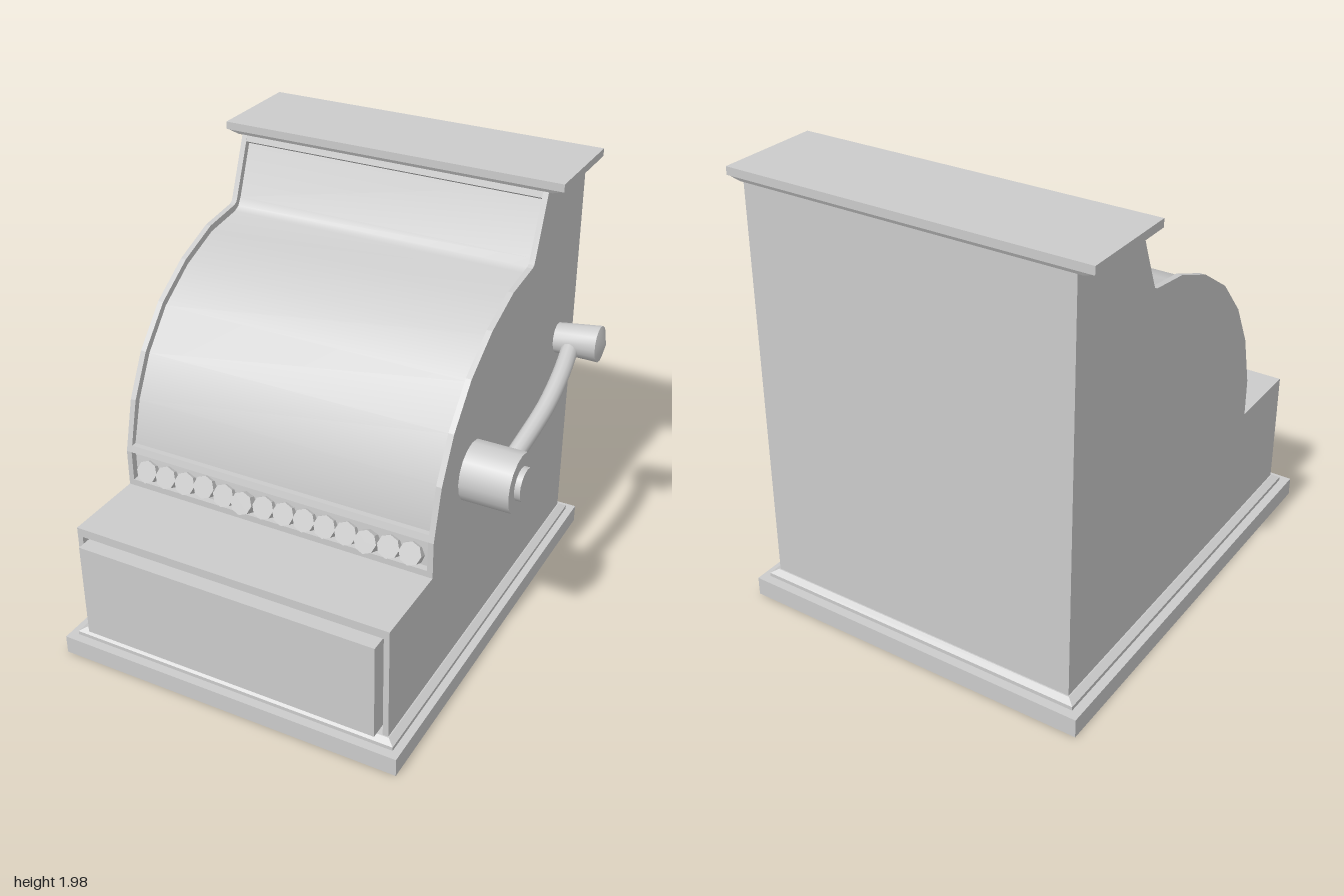
import * as THREE from 'three';
import { toCreasedNormals } from 'three/addons/utils/BufferGeometryUtils.js';

const material = new THREE.MeshStandardMaterial({ color: 0xcccccc });
const LEFT = -0.85, RIGHT = 0.625, RIM = 0.025; // cabinet extent along x

export function createModel() {
  const model = new THREE.Group();

  const add = (name, geometry, x = 0, y = 0, z = 0, parent = model) => {
    const mesh = new THREE.Mesh(geometry, material);
    mesh.name = name;
    mesh.position.set(x, y, z);
    parent.add(mesh);
    return mesh;
  };

  // Box given by its limits
  const box = (name, x0, x1, y0, y1, z0, z1) =>
    add(name, new THREE.BoxGeometry(x1 - x0, y1 - y0, z1 - z0), (x0 + x1) / 2, (y0 + y1) / 2, (z0 + z1) / 2);

  // Box whose top or bottom edge is drawn in by dx, dz to make a sloped moulding
  const moulding = (name, x0, x1, y0, y1, z0, z1, dx, dz, narrowTop) => {
    const g = new THREE.BoxGeometry(x1 - x0, y1 - y0, z1 - z0);
    const p = g.attributes.position;
    for (let i = 0; i < p.count; i++) {
      if ((p.getY(i) > 0) !== narrowTop) continue;
      p.setX(i, p.getX(i) - Math.sign(p.getX(i)) * dx);
      p.setZ(i, p.getZ(i) - Math.sign(p.getZ(i)) * dz);
    }
    const flat = g.toNonIndexed();
    flat.computeVertexNormals();
    return add(name, flat, (x0 + x1) / 2, (y0 + y1) / 2, (z0 + z1) / 2);
  };

  // Side profile of [z, y] points extruded from x0 to x1
  const profile = (name, points, x0, x1, crease = 0.1) => {
    const shape = new THREE.Shape(points.map(([z, y]) => new THREE.Vector2(z, y)));
    const g = new THREE.ExtrudeGeometry(shape, { depth: x1 - x0, bevelEnabled: false });
    g.rotateY(-Math.PI / 2);
    return add(name, toCreasedNormals(g, crease), x1);
  };

  // Plinth
  box('base', -0.925, 0.695, 0, 0.085, -1, 1);
  box('baseStep', -0.885, 0.66, 0.085, 0.102, -0.96, 0.96);
  moulding('baseMoulding', -0.885, 0.66, 0.102, 0.12, -0.96, 0.96, 0.03, 0.025, true);

  // Cabinet sides, standing proud of the recessed body
  const side = [
    [-0.93, 0.12], [0.93, 0.12], [0.93, 0.65], [0.55, 0.65], [0.55, 0.82], [0.49, 1.05],
    [0.39, 1.24], [0.24, 1.41], [0.05, 1.535], [-0.155, 1.615], [-0.355, 1.64],
    [-0.372, 1.648], [-0.383, 1.67], [-0.49, 1.935], [-0.93, 1.935],
  ];
  profile('rightSide', side, LEFT, LEFT + RIM);
  profile('leftSide', side, RIGHT - RIM, RIGHT);

  // Recessed body with the smooth curved front
  const body = [
    [-0.93, 0.12], [0.86, 0.12], [0.86, 0.62], [0.52, 0.62], [0.52, 0.84], [0.462, 1.04],
    [0.365, 1.222], [0.222, 1.386], [0.038, 1.508], [-0.162, 1.586], [-0.355, 1.61],
    [-0.388, 1.625], [-0.41, 1.66], [-0.52, 1.935], [-0.93, 1.935],
  ];
  profile('body', body, LEFT + RIM, RIGHT - RIM, 0.6);

  // Cross rails framing the curved front, the keys and the drawer
  const rail = (name, points) => profile(name, points, LEFT + RIM, RIGHT - RIM);
  rail('topRail', [[-0.53, 1.87], [-0.479, 1.902], [-0.49, 1.935], [-0.53, 1.935]]);
  rail('keyRail', [[0.5, 0.82], [0.55, 0.82], [0.542, 0.85], [0.5, 0.85]]);
  rail('shelf', [[0.5, 0.61], [0.93, 0.61], [0.93, 0.65], [0.55, 0.65], [0.55, 0.68], [0.5, 0.68]]);
  box('drawer', -0.82, 0.58, 0.13, 0.58, 0.84, 0.967);

  // Lid
  box('lid', -0.925, 0.695, 1.945, 1.98, -0.945, -0.475);
  moulding('lidMoulding', -0.92, 0.69, 1.927, 1.945, -0.942, -0.478, 0.05, 0.01, false);

  // Row of tilted keys, a few standing out of line
  const keys = new THREE.Group();
  keys.name = 'keys';
  model.add(keys);
  const keyShape = new THREE.CylinderGeometry(0.051, 0.051, 0.07, 8).toNonIndexed();
  keyShape.computeVertexNormals();
  keyShape.rotateX(1.15);
  for (let i = 0; i < 14; i++) {
    const lift = i === 3 ? 0.013 : 0;
    const out = i === 5 || i === 11 ? 0.014 : 0;
    add('key', keyShape, -0.75 + i * 0.098, 0.728 + lift, 0.522 + out, keys);
  }

  // Crank
  const crank = new THREE.Group();
  crank.name = 'crank';
  model.add(crank);
  const disc = (name, r, x0, x1) => {
    const g = new THREE.CylinderGeometry(r, r, x1 - x0, 16);
    g.rotateZ(-Math.PI / 2);
    add(name, g, (x0 + x1) / 2, 0.97, 0.2, crank);
  };
  disc('crankHub', 0.131, 0.62, 0.842);
  disc('crankCap', 0.073, 0.84, 0.867);

  const armPath = new THREE.CatmullRomCurve3([
    new THREE.Vector3(0.76, 1.0, 0.16), new THREE.Vector3(0.775, 1.04, 0.08),
    new THREE.Vector3(0.798, 1.13, -0.15), new THREE.Vector3(0.795, 1.2, -0.32),
    new THREE.Vector3(0.778, 1.25, -0.46),
  ]);
  add('crankArm', new THREE.TubeGeometry(armPath, 16, 0.038, 12), 0, 0, 0, crank);

  const gripShape = new THREE.LatheGeometry(
    [[0, -0.105], [0.066, -0.105], [0.079, 0.085], [0, 0.11]].map(([r, y]) => new THREE.Vector2(r, y)), 16);
  const grip = add('crankGrip', toCreasedNormals(gripShape, 0.6), 0.808, 1.273, -0.513, crank);
  grip.rotation.set(0, 0.04, -Math.PI / 2 + 0.05);

  return model;
}
